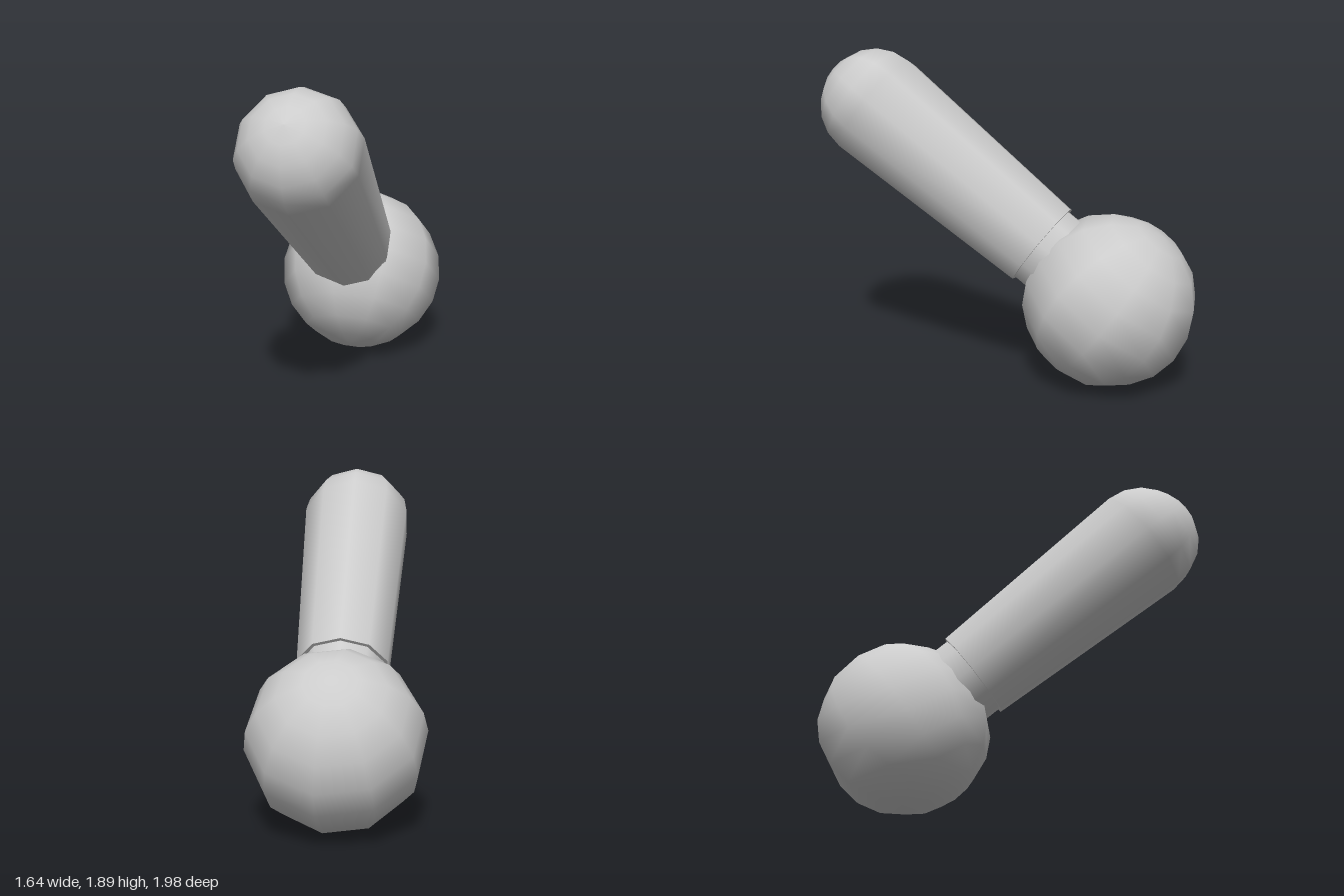
import * as THREE from 'three';

export function createModel() {
  const model = new THREE.Group();
  const material = new THREE.MeshStandardMaterial({ color: 0xcccccc });

  // Everything is built along +z, then aimed from the ball centre to the tip centre
  const ballCentre = new THREE.Vector3(-0.32, 0.51, -0.5);
  const tipCentre = new THREE.Vector3(0.49, 1.57, 0.66);
  const length = ballCentre.distanceTo(tipCentre);
  const sides = 10;
  const start = 0.5, startRadius = 0.27, tipRadius = 0.335;

  const body = new THREE.Group();
  body.name = 'ballAndHandle';
  body.position.copy(ballCentre);
  body.lookAt(tipCentre);
  model.add(body);

  const add = (name, geometry) => {
    const mesh = new THREE.Mesh(geometry, material);
    mesh.name = name;
    body.add(mesh);
    return mesh;
  };

  // Ball, its pole square to the handle
  add('ball', new THREE.SphereGeometry(0.5, sides, 10).rotateY(0.16));

  // Short neck between ball and handle
  add('collar', new THREE.CylinderGeometry(0.25, 0.25, 0.22, sides)
    .rotateX(Math.PI / 2).translate(0, 0, 0.42));

  // Tapered handle with a domed end
  const profile = [new THREE.Vector2(startRadius, start)];
  for (let i = 0; i <= 5; i++) {
    const t = (i / 5) * Math.PI / 2;
    profile.push(new THREE.Vector2(
      i === 5 ? 0 : tipRadius * Math.cos(t), length + tipRadius * Math.sin(t)));
  }
  add('handle', new THREE.LatheGeometry(profile, sides).rotateX(Math.PI / 2));

  // Flat lower end of the handle
  add('handleBase', new THREE.CircleGeometry(startRadius, sides, Math.PI / 2)
    .rotateY(Math.PI).translate(0, 0, start));

  return model;
}
